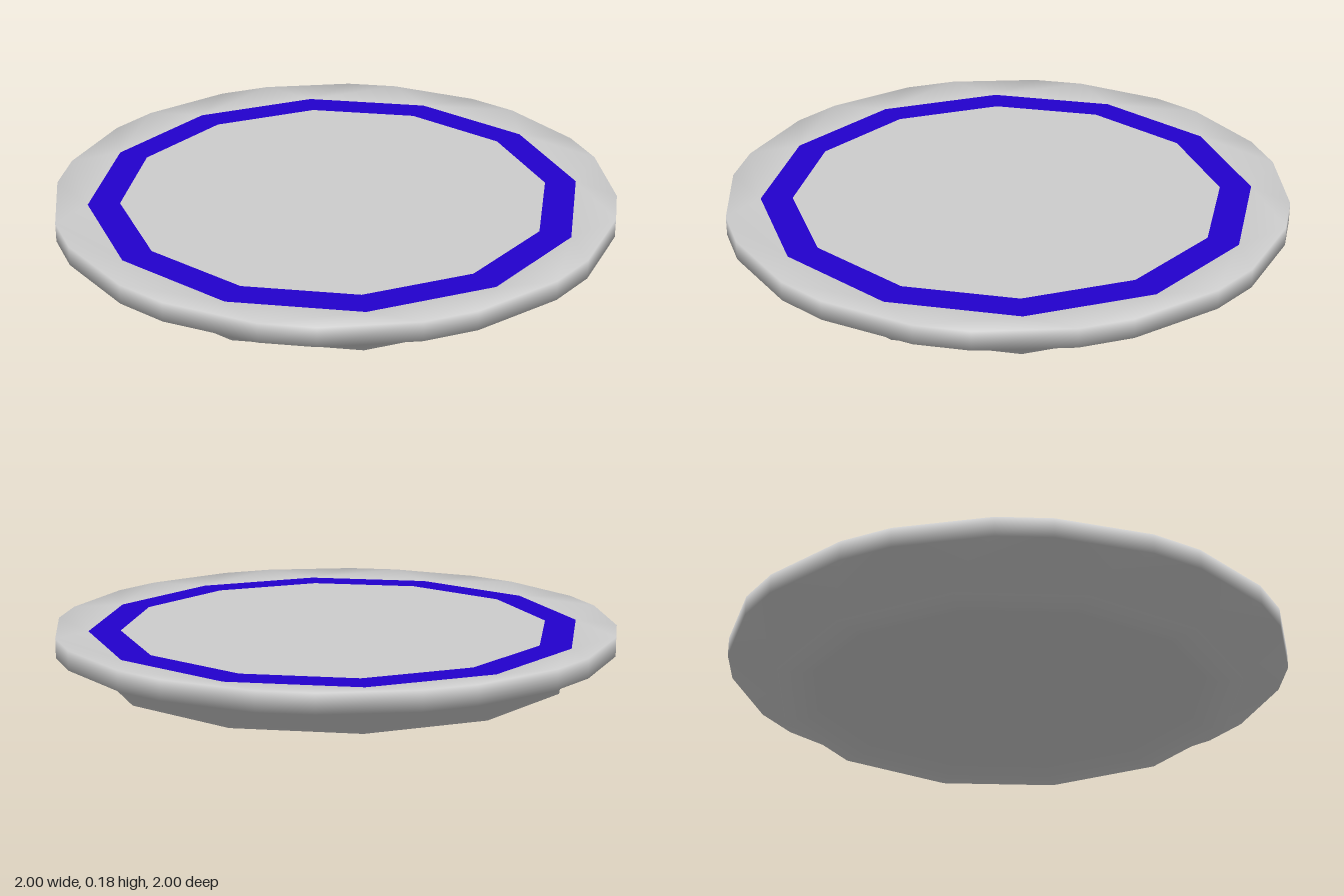
import * as THREE from 'three';
import { mergeVertices } from 'three/addons/utils/BufferGeometryUtils.js';

const SIDES = 12;
const FLOOR_Y = 0.165;

// Each ring is [radius, height, spread]. Spread (degrees) splits every corner
// in two; zero gives a plain twelve-sided ring.
function loftRings(rings) {
  const positions = [];
  const index = [];
  const count = SIDES * 2;
  for (const [r, y, spread] of rings) {
    for (let k = 0; k < SIDES; k++) {
      for (const side of [-1, 1]) {
        const a = THREE.MathUtils.degToRad(k * 360 / SIDES + side * spread);
        positions.push(r * Math.sin(a), y, r * Math.cos(a));
      }
    }
  }
  for (let i = 0; i < rings.length - 1; i++) {
    for (let j = 0; j < count; j++) {
      const n = (j + 1) % count;
      const a = i * count + j, b = i * count + n;
      const c = a + count, d = b + count;
      index.push(a, b, d, a, d, c);
    }
  }
  let geometry = new THREE.BufferGeometry();
  geometry.setAttribute('position', new THREE.Float32BufferAttribute(positions, 3));
  geometry.setIndex(index);
  geometry = mergeVertices(geometry, 1e-4);
  geometry.computeVertexNormals();
  return geometry;
}

export function createModel() {
  const model = new THREE.Group();
  model.name = 'plate';

  const glaze = new THREE.MeshStandardMaterial({ color: 0xcccccc });
  glaze.name = 'pale grey glaze';
  const blue = new THREE.MeshStandardMaterial({ color: 0x2200cc });
  blue.name = 'blue band';

  const add = (name, geometry, material) => {
    const mesh = new THREE.Mesh(geometry, material);
    mesh.name = name;
    model.add(mesh);
    return mesh;
  };

  // Body: hollow underside, foot, flared underside, upright edge and sloping lip
  add('body', loftRings([
    [0, 0.05, 0],
    [0.71, 0.05, 0],
    [0.74, 0, 0],
    [0.85, 0, 0],
    [0.85, 0.07, 0],
    [1.0145, 0.11, 9.6],
    [1.0145, 0.18, 9.6],
    [0.89, FLOOR_Y, 0],
  ]), glaze);

  // Flat eating surface with its painted band
  const band = add('paintedBand', new THREE.RingGeometry(0.775, 0.89, SIDES), blue);
  const floor = add('floor', new THREE.CircleGeometry(0.775, SIDES), glaze);
  for (const part of [band, floor]) {
    part.rotation.x = -Math.PI / 2;
    part.position.y = FLOOR_Y;
  }

  return model;
}
